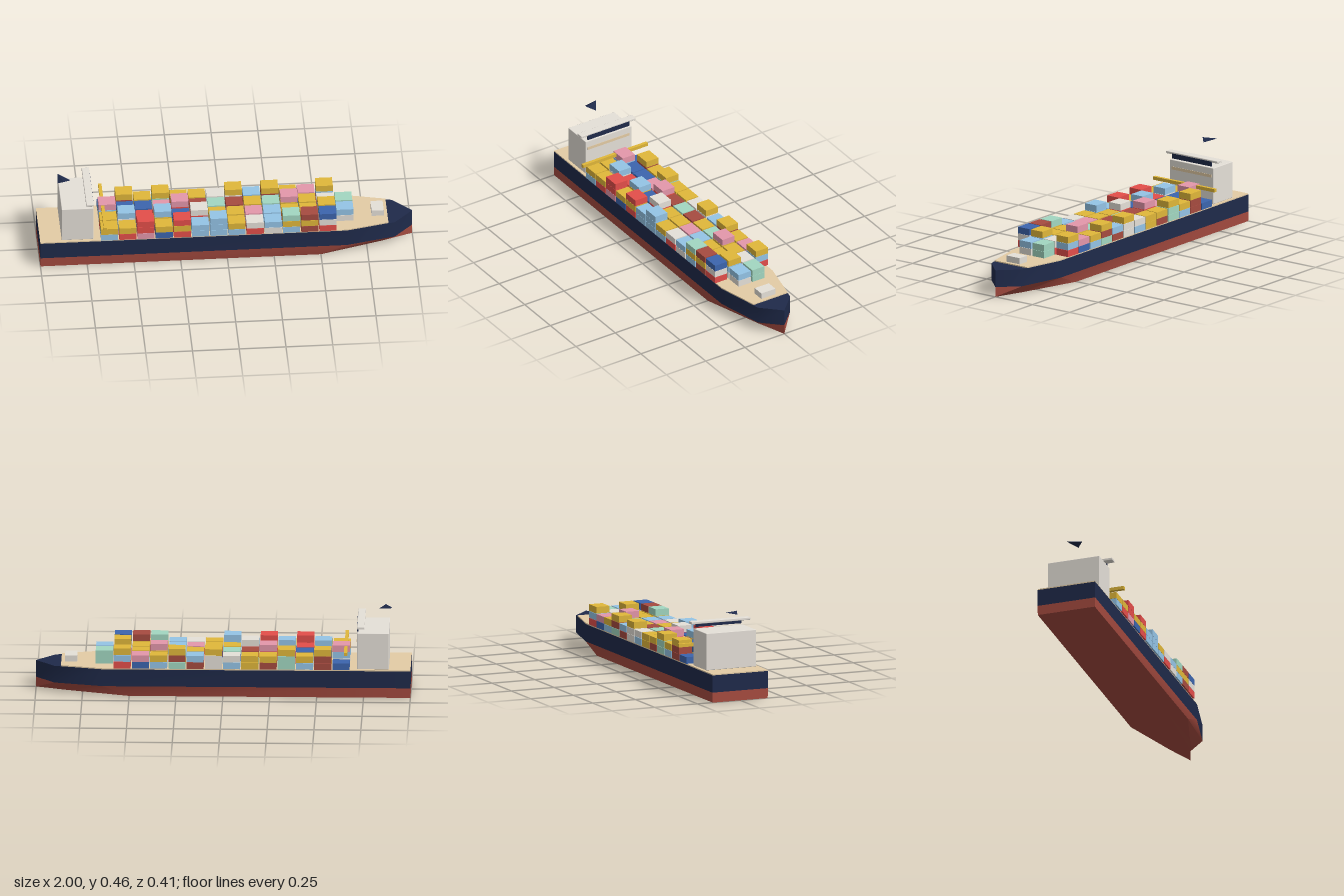
import * as THREE from 'three';
import { toCreasedNormals } from 'three/addons/utils/BufferGeometryUtils.js';
import { RoundedBoxGeometry } from 'three/addons/geometries/RoundedBoxGeometry.js';
import { ConvexGeometry } from 'three/addons/geometries/ConvexGeometry.js';

const mat = (name, color) => {
  const m = new THREE.MeshStandardMaterial({ color });
  m.name = name;
  return m;
};

// Half plan (x, half width) mirrored into a closed loop at height y
const section = (y, half) => [
  ...half.map(([x, z]) => [x, y, z]),
  ...half.slice().reverse().filter(([, z]) => z > 0).map(([x, z]) => [x, y, -z]),
];

// Solid between two loops with the same point count, smooth along the sides
function loft(lower, upper) {
  const p = [], n = lower.length;
  const tri = (a, b, c) => p.push(...a, ...b, ...c);
  for (let i = 0; i < n; i++) {
    const j = (i + 1) % n;
    tri(lower[i], lower[j], upper[j]);
    tri(lower[i], upper[j], upper[i]);
  }
  for (let i = 1; i < n - 1; i++) {
    tri(upper[0], upper[i], upper[i + 1]);
    tri(lower[0], lower[i + 1], lower[i]);
  }
  const g = new THREE.BufferGeometry();
  g.setAttribute('position', new THREE.Float32BufferAttribute(p, 3));
  return toCreasedNormals(g, 0.7);
}

export function createModel() {
  const ship = new THREE.Group();
  ship.name = 'containerShip';
  const navy = mat('navy', 0x1f2a4a);
  const tan = mat('deckTan', 0xe4cca5);
  const grey = mat('paleGrey', 0xe5e0d8);
  const rust = mat('rustRed', 0xa64b40);
  const gold = mat('gold', 0xe0b73a);
  const paint = {
    y: gold, g: grey, n: rust,
    b: mat('blue', 0x3c65ae), l: mat('lightBlue', 0x94c4e6),
    p: mat('pink', 0xe497ab), t: mat('seaGreen', 0xa2d7c1), r: mat('red', 0xe44e4a),
  };

  const add = (name, geometry, material, parent = ship) => {
    const m = new THREE.Mesh(geometry, material);
    m.name = name;
    parent.add(m);
    return m;
  };
  // Box given by its min and max on each axis, with an optional bevel
  const box = (name, material, [x0, x1], [y0, y1], [z0, z1], parent, bevel = 0) => {
    const size = [x1 - x0, y1 - y0, z1 - z0];
    const geometry = bevel ? new RoundedBoxGeometry(...size, 1, bevel) : new THREE.BoxGeometry(...size);
    add(name, geometry, material, parent)
      .position.set((x0 + x1) / 2, (y0 + y1) / 2, (z0 + z1) / 2);
  };

  // Hull: keel plan with a long straight taper, then vertical sides to the deck
  const keel = section(0, [[-1, 0.161], [0.5, 0.161], [0.84, 0.058], [1, 0]]);
  const plan = [[-1, 0.163], [0.64, 0.163], [0.9, 0.103], [1, 0]];
  add('lowerHull', loft(keel, section(0.054, plan)), rust);
  add('upperHull', loft(section(0.054, plan), section(0.147, plan)), navy);
  const deckPlan = [[-1, 0.161], [0.64, 0.161], [0.865, 0.109]];
  add('deck', loft(section(0.147, deckPlan), section(0.153, deckPlan)), tan);

  // Deckhouse at the stern
  const house = new THREE.Group();
  house.name = 'deckhouse';
  ship.add(house);
  box('tower', grey, [-0.885, -0.715], [0.153, 0.353], [-0.146, 0.146], house, 0.003);
  box('towerStripe', tan, [-0.716, -0.713], [0.3, 0.316], [-0.133, 0.133], house);
  box('bridgeWindows', navy, [-0.722, -0.714], [0.361, 0.388], [-0.133, 0.133], house);
  box('bridgeRoof', grey, [-0.755, -0.715], [0.382, 0.396], [-0.173, 0.173], house, 0.003);
  add('funnelCap', new ConvexGeometry([
    [-0.893, 0.46, -0.036], [-0.865, 0.46, 0.042], [-0.898, 0.445, 0.03], [-0.828, 0.445, 0.008],
  ].map((v) => new THREE.Vector3(...v))), navy, house);

  // Cross beam ahead of the deckhouse and locker at the bow
  box('crossBeam', gold, [-0.664, -0.646], [0.245, 0.263], [-0.206, 0.206]);
  box('bowLocker', grey, [0.78, 0.845], [0.153, 0.187], [-0.045, 0.045]);

  // Containers: per row, the stack heights and the colours of each layer
  const rows = [
    { z: 0.13, heights: '22323232223330',
      tops: 'yyryrllygltnb ', middle: 'yyryyllyglyyg ', bottom: 'lrpbrlllrglnr ' },
    { z: 0.0435, heights: '23232322222232',
      tops: 'ylrlbgyyplyyyl', middle: 'tgnytrblgynpll', bottom: 'rltnlygbplrtgg' },
    { z: -0.0435, heights: '32223222223222',
      tops: 'pbbppntnytpygt', middle: 'ltygrlbntlytgt', bottom: 'gylnrtblpyglrt' },
    { z: -0.13, heights: '13232223232230',
      tops: 'byyyyygylyypy ', middle: 'lnytlrbglnytl ', bottom: 'tnltnylgntlbr ' },
  ];
  const cargo = new THREE.Group();
  cargo.name = 'containers';
  ship.add(cargo);
  const boxGeo = new THREE.BoxGeometry(0.091, 0.036, 0.077);
  rows.forEach(({ z, heights, tops, middle, bottom }) => {
    for (let i = 0; i < 14; i++) {
      const count = Number(heights[i]);
      for (let k = 0; k < count; k++) {
        const layer = k === count - 1 ? tops : [bottom, middle][k];
        add('container', boxGeo, paint[layer[i]], cargo)
          .position.set(-0.63 + i * 0.0973, 0.1735 + k * 0.0372, z);
      }
    }
  });
  return ship;
}
